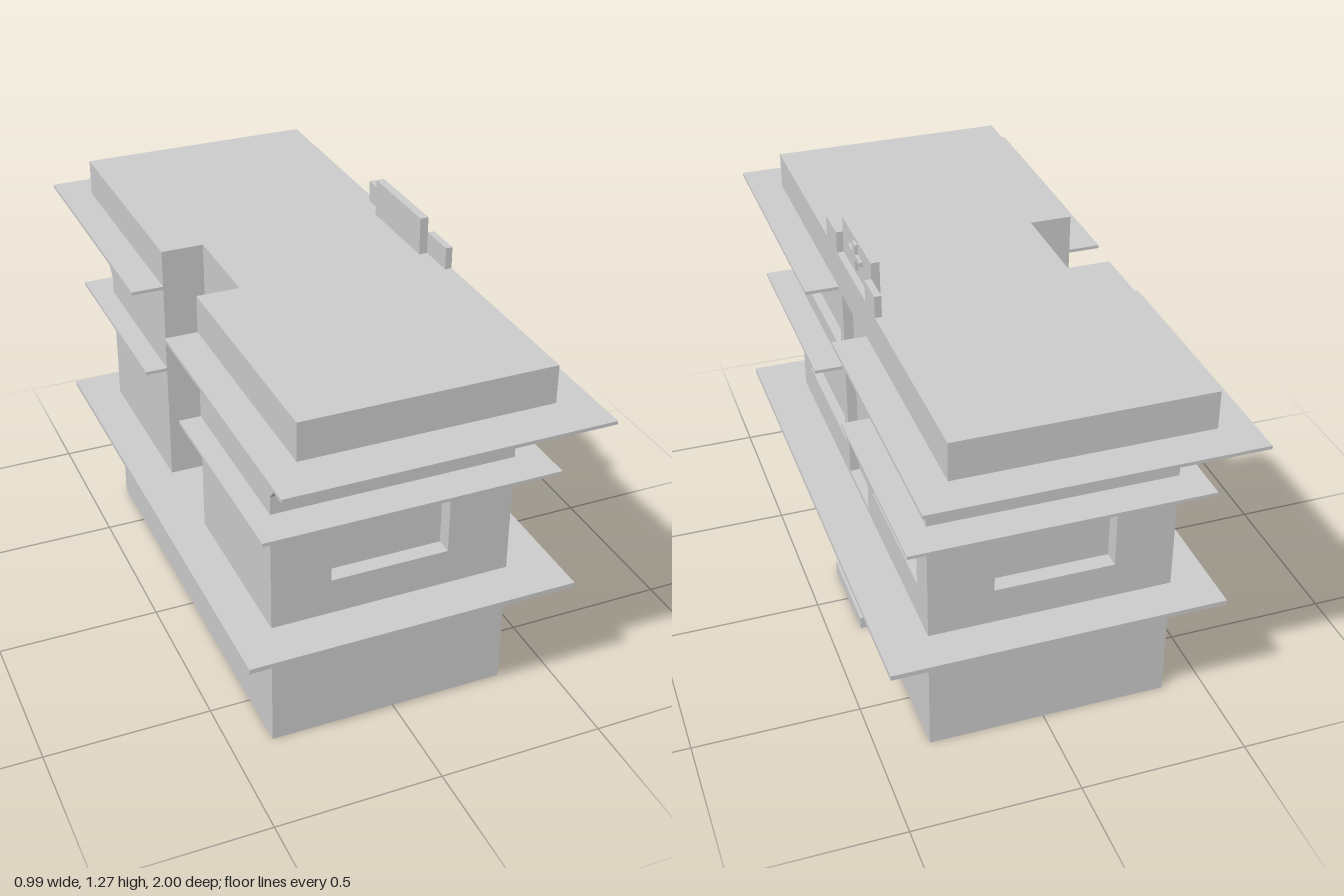
import * as THREE from 'three';

export function createModel() {
  const group = new THREE.Group();
  group.name = 'building';
  const material = new THREE.MeshStandardMaterial({ color: 0xcccccc, flatShading: true });

  function add(name, geometry) {
    const mesh = new THREE.Mesh(geometry, material);
    mesh.name = name;
    group.add(mesh);
    return mesh;
  }

  function box(name, x0, x1, y0, y1, z0, z1) {
    const mesh = add(name, new THREE.BoxGeometry(x1 - x0, y1 - y0, z1 - z0));
    mesh.position.set((x0 + x1) / 2, (y0 + y1) / 2, (z0 + z1) / 2);
  }

  // Side outline given as [z, y], extruded from x0 to x1; holes are [z0, z1, y0, y1]
  function section(name, points, x0, x1, holes = []) {
    const v = ([z, y]) => new THREE.Vector2(-z, y);
    const shape = new THREE.Shape(points.map(v));
    for (const [z0, z1, y0, y1] of holes) {
      shape.holes.push(new THREE.Path([[z0, y0], [z0, y1], [z1, y1], [z1, y0]].map(v)));
    }
    const g = new THREE.ExtrudeGeometry(shape, { depth: x1 - x0, bevelEnabled: false });
    add(name, g.rotateY(Math.PI / 2).translate(x0, 0, 0));
  }

  // Plan outline given as [x, z], extruded from y0 to y1
  function slab(name, points, y0, y1) {
    const shape = new THREE.Shape(points.map(([x, z]) => new THREE.Vector2(x, -z)));
    const g = new THREE.ExtrudeGeometry(shape, { depth: y1 - y0, bevelEnabled: false });
    add(name, g.rotateX(-Math.PI / 2).translate(0, y0, 0));
  }

  // Main levels and the width of the central bay
  const left = 0.347, right = -0.377, bay0 = -0.155, bay1 = 0.145;
  const top = 1.16, flare0 = 0.83, flare1 = 1.04, sill = 0.51, head = 0.765;
  const frontZ = 0.68, frontTop = 0.862, backZ = -0.697, backTop = -0.885;

  // One end of the outline, bottom to top: vertical wall, then outward flare
  const plainEnd = (z, zt) => [[z, 0], [z, flare0], [zt, flare1], [zt, top]];
  // The same end with recessed windows in the wall and in the flare
  const windowEnd = (z, zt) => {
    const d = 0.05 * Math.sign(z);
    return [
      [z, 0], [z, sill], [z - d, sill], [z - d, head], [z, head], [z, flare0],
      [z - d, flare0], [zt - d, flare1], [zt, flare1], [zt, top],
    ];
  };
  const outline = (end, middle = []) => [
    ...end(frontZ, frontTop), ...middle, ...end(backZ, backTop).reverse(),
  ];

  // Building body in layers across its width
  const shaft = [[bay1, top], [bay1, 0.4], [bay0, 0.4], [bay0, top]];
  section('shaftSideWall', outline(plainEnd, shaft), right, -0.25);
  section('shaftInnerWall', outline(plainEnd), -0.25, -0.2);
  section('windowCore', outline(windowEnd), -0.2, 0.155);
  section('entranceCore', outline(plainEnd), 0.155, left - 0.03);
  section('entranceWall', outline(plainEnd), left - 0.03, left, [
    [bay1, 0.59, sill, head], [-0.6, bay0, sill, head],
    [bay1, 0.59, flare0, flare1], [-0.6, bay0, flare0, flare1],
    [-0.1, 0.107, 0.415, flare1],
    [bay0, bay1, 0.08, 0.385],
  ]);

  // Projecting ledges: lower one runs all round, the others stop at the central bay
  box('lowerLedge', -0.495, 0.49, 0.385, 0.4, -0.82, 0.82);
  const ledge = (x0, x1, z0, z1) => [
    [x0, z0], [x0, bay0], [-0.245, bay0], [-0.245, bay1], [x0, bay1], [x0, z1],
    [x1, z1], [x1, bay1], [0.31, bay1], [0.31, bay0], [x1, bay0], [x1, z0],
  ];
  slab('middleLedge', ledge(-0.443, 0.432, -0.803, 0.793), 0.765, 0.775);
  slab('roofLedge', ledge(-0.473, 0.447, -1, 1), 1.038, 1.048);

  // Doorstep
  box('doorstep', left - 0.02, 0.4, 0, 0.04, -0.152, bay1);

  // Raised roof sign with lower side blocks and a cross
  box('signPanel', 0.302, 0.327, top, 1.272, -0.153, bay1);
  box('signSideBlock', 0.327, left, top, 1.225, bay1, 0.26);
  box('signSideBlock', 0.327, left, top, 1.225, -0.253, bay0);
  box('crossUpright', 0.327, 0.336, 1.183, 1.262, -0.019, 0.011);
  box('crossBar', 0.327, 0.336, 1.218, 1.232, -0.068, 0.057);

  return group;
}
